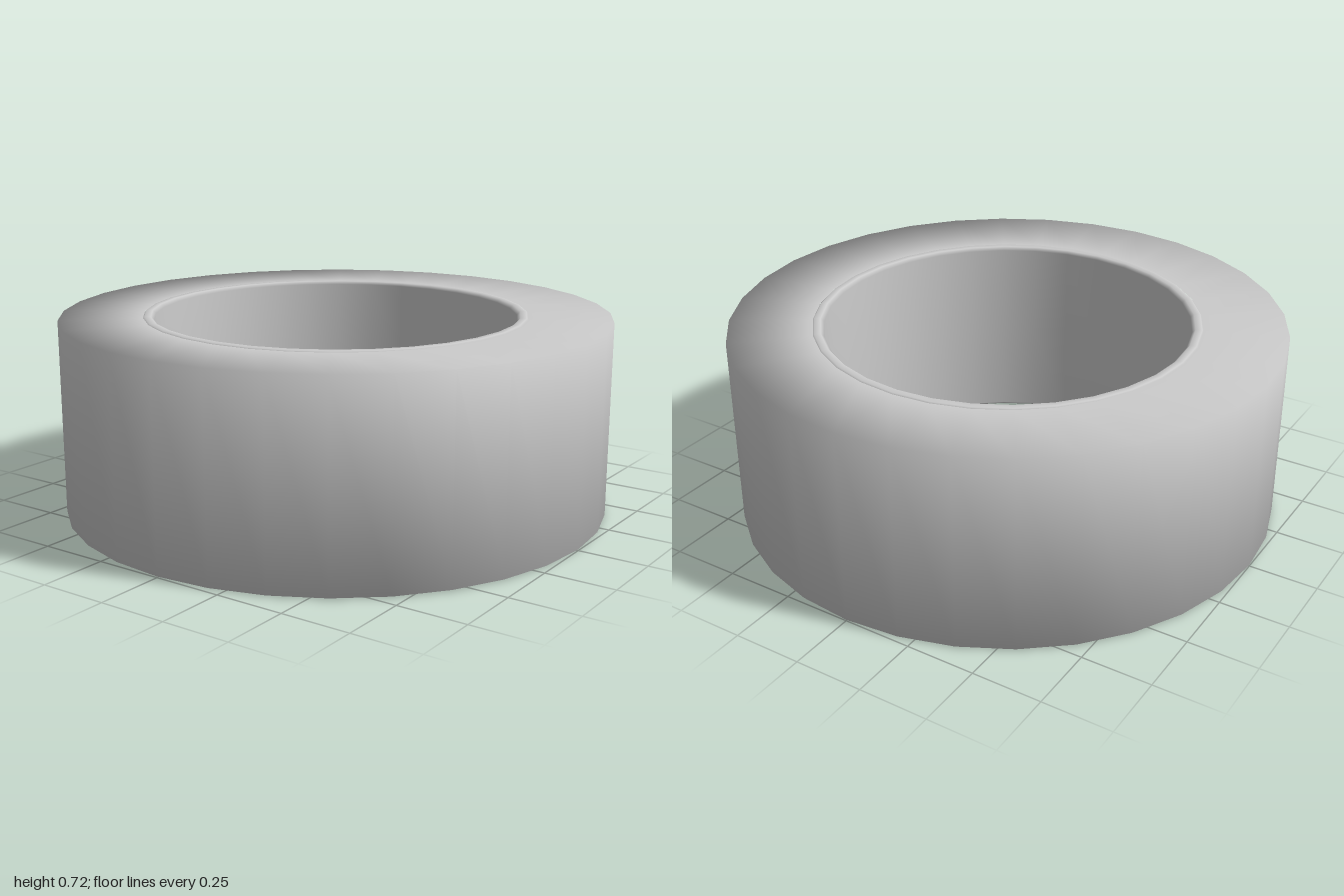
import * as THREE from 'three';

const HEIGHT = 0.716, SEGMENTS = 32;

// Revolve a list of [radius, y] points around the vertical axis
function ring(name, points, material) {
  const profile = points.map(([r, y]) => new THREE.Vector2(r, y));
  const mesh = new THREE.Mesh(new THREE.LatheGeometry(profile, SEGMENTS), material);
  mesh.name = name;
  return mesh;
}

export function createModel() {
  const group = new THREE.Group();
  group.name = 'tapeRoll';
  const material = new THREE.MeshStandardMaterial({ color: 0xcccccc });

  // Wound tape: square section with softly shaded outer corners
  const gap = 0.004;
  group.add(ring('woundTape', [
    [0.7, gap], [1, gap], [1, HEIGHT - gap], [0.7, HEIGHT - gap],
  ], material));

  // Core tube: thin wall with rounded rims at both ends
  const inner = 0.66, outer = 0.707, bevel = 0.012;
  group.add(ring('core', [
    [inner, HEIGHT / 2],
    [inner, bevel], [inner + bevel, 0], [outer - bevel, 0], [outer, bevel],
    [outer, HEIGHT - bevel], [outer - bevel, HEIGHT], [inner + bevel, HEIGHT], [inner, HEIGHT - bevel],
    [inner, HEIGHT / 2],
  ], material));

  return group;
}
